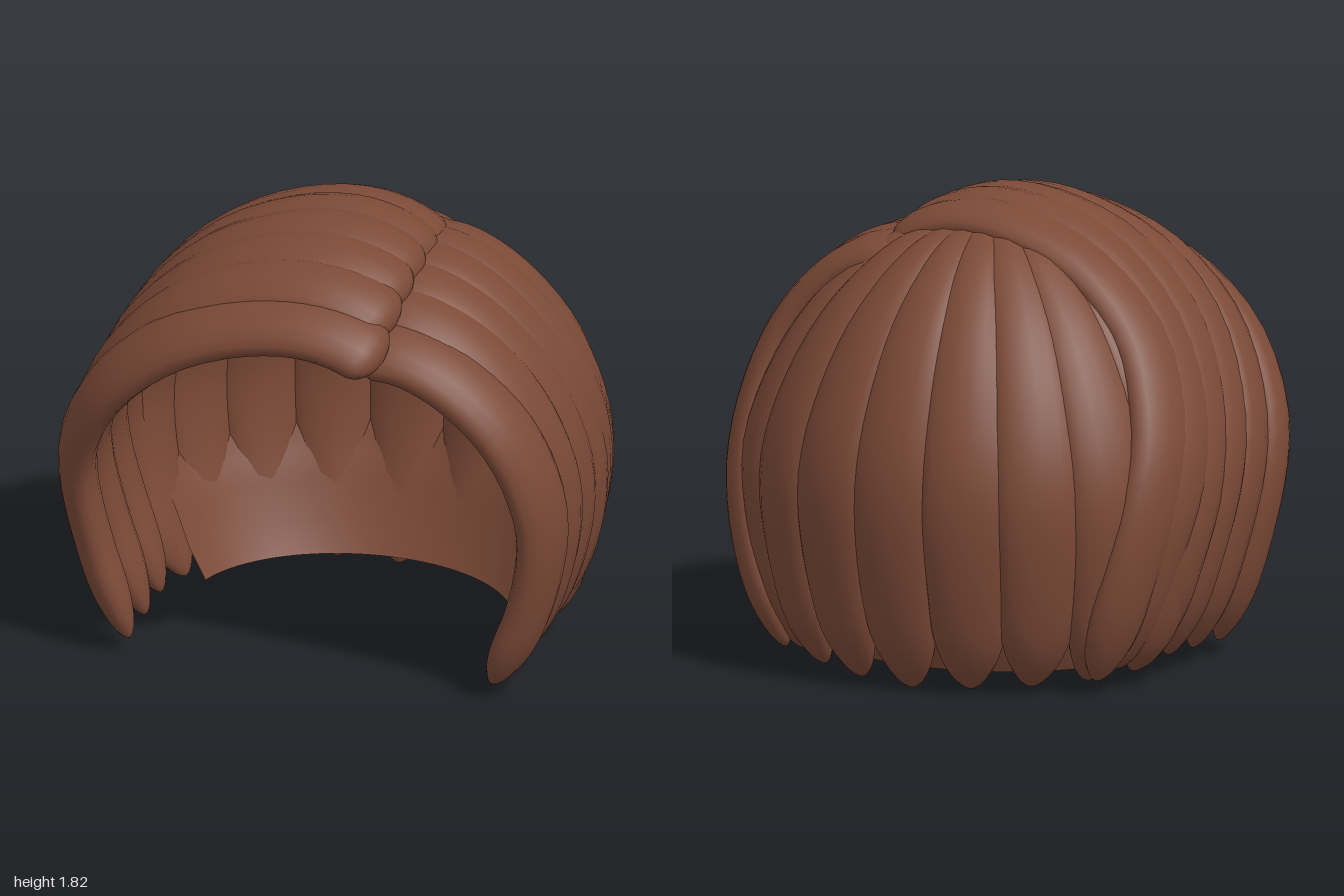
import * as THREE from 'three';

const V = (x, y, z) => new THREE.Vector3(x, y, z);
const lerp = THREE.MathUtils.lerp;

// Flattened lock of hair swept along a path; width(t) gives the half width
function lockGeometry(points, width, thickness, tipStart) {
  const curve = new THREE.CatmullRomCurve3(points);
  const rings = 44, sides = 16, pos = [], index = [];
  for (let i = 0; i <= rings; i++) {
    const u = i / rings;
    const t = u - 0.85 * Math.sin(2 * Math.PI * u) / (2 * Math.PI);
    const c = curve.getPointAt(t), T = curve.getTangentAt(t);
    // the back locks face outward along z, the side locks mostly along x
    const N = V(c.x, c.y - 0.75, c.z < 0 ? c.z * 1.1 : c.z * 0.6);
    N.addScaledVector(T, -N.dot(T)).normalize();
    const B = T.clone().cross(N);
    const root = Math.sqrt(1 - Math.max(0, 1 - t / 0.04) ** 2);
    const k = Math.max(0, (t - tipStart) / (1 - tipStart));
    const s = Math.max(0.015, root * Math.pow(Math.max(0, 1 - k * k), 0.6));
    const w = width(t) * s, h = thickness * s;
    for (let j = 0; j < sides; j++) {
      const a = (j / sides) * Math.PI * 2;
      const p = c.clone().addScaledVector(B, Math.cos(a) * w).addScaledVector(N, Math.sin(a) * h);
      pos.push(p.x, p.y, p.z);
    }
  }
  for (let i = 0; i < rings; i++) {
    for (let j = 0; j < sides; j++) {
      const a = i * sides + j, b = i * sides + (j + 1) % sides;
      index.push(a, a + sides, b, b, a + sides, b + sides);
    }
  }
  const g = new THREE.BufferGeometry();
  g.setAttribute('position', new THREE.Float32BufferAttribute(pos, 3));
  g.setIndex(index);
  g.computeVertexNormals();
  return g;
}

// Outlines from the parting down each side, as x, y
const RIGHT = [[0.36, 1.6], [0.2, 1.69], [0.04, 1.725], [-0.18, 1.7], [-0.46, 1.58], [-0.72, 1.33],
  [-0.88, 1.02], [-0.925, 0.76], [-0.87, 0.42], [-0.735, 0.06]];
const LEFT = [[0.24, 1.59], [0.4, 1.575], [0.58, 1.48], [0.77, 1.27], [0.885, 1.0],
  [0.925, 0.72], [0.87, 0.4], [0.72, 0.06]];

// Side locks, front to back: z at the parting on the right and left, z at the tip,
// crown height, tip height, half width
const SIDE = [
  [0.72, 0.59, 0.47, 1.55, 0.05, 0.145],
  [0.57, 0.42, 0.26, 1.645, 0.06, 0.15],
  [0.41, 0.26, 0.06, 1.7, 0.07, 0.15],
  [0.25, 0.1, -0.13, 1.73, 0.08, 0.15],
  [0.09, -0.05, -0.29, 1.735, 0.08, 0.15],
  [-0.07, -0.17, -0.41, 1.715, 0.05, 0.15],
];

function sidePath(outline, zTop, [, , zTip, crown, tip]) {
  return outline.map(([x, y]) => {
    const z = lerp(zTip, zTop, THREE.MathUtils.smoothstep(y, 0.4, 1.6));
    const side = Math.abs(x) > 0.4 ? 1 - 0.3 * Math.max(0, -z - 0.15) : 1;
    const yy = y > 0.75 ? 0.75 + (y - 0.75) * (crown - 0.75) / 0.97 : lerp(tip, 0.75, (y - 0.06) / 0.69);
    return V(x * side, yy, z);
  });
}

// Back locks: distance from the middle and height
const BACK = [[0.14, 1.66], [0.38, 1.575], [0.64, 1.36], [0.83, 1.06], [0.908, 0.8],
  [0.89, 0.5], [0.81, 0.2], [0.73, 0.0]];

export function createModel() {
  const group = new THREE.Group();
  const hair = new THREE.MeshStandardMaterial({ color: 0x7c4a37, side: THREE.DoubleSide });
  hair.name = 'brownHair';
  const add = (name, geometry) => {
    const mesh = new THREE.Mesh(geometry, hair);
    mesh.name = name;
    group.add(mesh);
    return mesh;
  };

  // Locks combed from the parting over both sides
  SIDE.forEach((lock, i) => {
    const width = (t) => lock[5] - 0.03 * THREE.MathUtils.smoothstep(t, 0.5, 0.95);
    add(`rightLock${i + 1}`, lockGeometry(sidePath(RIGHT, lock[0], lock), width, 0.075, 0.88));
    add(`leftLock${i + 1}`, lockGeometry(sidePath(LEFT, lock[1], lock), width, 0.075, 0.86));
  });

  // Locks fanning out from the crown down the back
  for (let k = -4; k <= 4; k++) {
    const a = k * Math.PI / 9.6;
    const tip = Math.abs(k) * 0.012;
    const path = BACK.map(([d, y], i) => V(Math.sin(a) * d, i === BACK.length - 1 ? y + tip : y,
      -Math.cos(a) * d * 0.86));
    const width = (t) => lerp(0.09, 0.18, Math.sin(Math.min(1, t / 0.6) * Math.PI / 2))
      - 0.055 * Math.max(0, (t - 0.65) / 0.35);
    add(`backLock${k + 5}`, lockGeometry(path, width, 0.08, 0.85));
  }

  // Smooth lining behind the neck, rising into the locks
  const lining = [[0.63, 0.06], [0.7, 0.18], [0.755, 0.32], [0.8, 0.42], [0.87, 0.55], [0.905, 0.7],
    [0.9, 0.82], [0.83, 1.06], [0.64, 1.36], [0.38, 1.57], [0.14, 1.65], [0.001, 1.66]];
  const shell = new THREE.LatheGeometry(lining.map(([x, y]) => new THREE.Vector2(x, y)), 40, Math.PI - 1.35, 2.7);
  add('innerLining', shell).scale.z = 0.86;

  return group;
}
